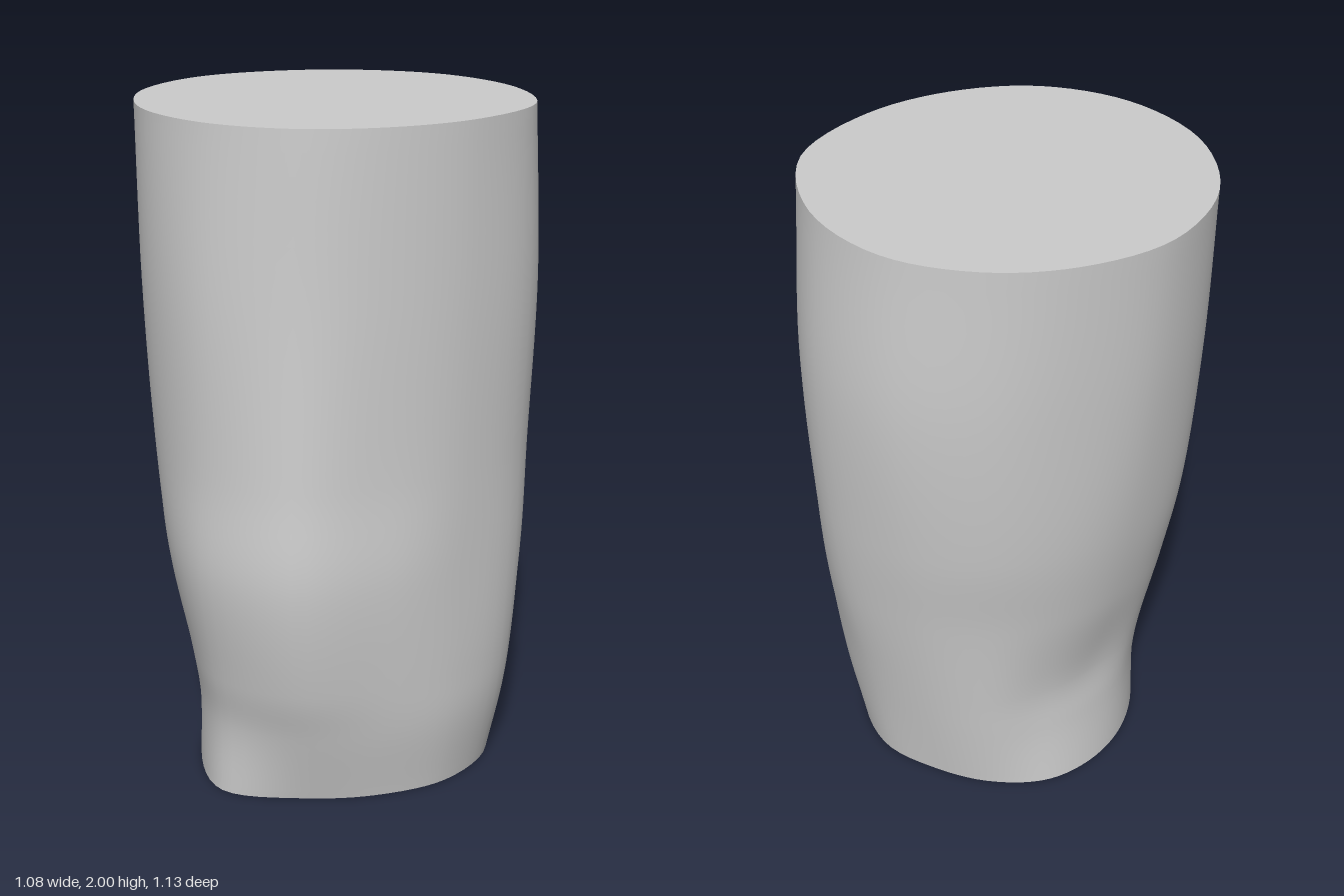
import * as THREE from 'three';

// Cross-sections from bottom to top: height, then radii every 30 degrees
// starting at the left (+x) and turning towards the front (+z).
const SECTIONS = [
  [0.0, [0.46, 0.42, 0.425, 0.488, 0.42, 0.37, 0.345, 0.34, 0.335, 0.36, 0.44, 0.49]],
  [0.22, [0.497, 0.468, 0.485, 0.485, 0.418, 0.363, 0.325, 0.325, 0.355, 0.395, 0.47, 0.535]],
  [0.38, [0.505, 0.49, 0.53, 0.512, 0.44, 0.378, 0.32, 0.325, 0.37, 0.42, 0.495, 0.555]],
  [0.7, [0.508, 0.51, 0.575, 0.562, 0.505, 0.445, 0.395, 0.385, 0.41, 0.47, 0.55, 0.575]],
  [1.0, [0.511, 0.495, 0.555, 0.553, 0.53, 0.5, 0.45, 0.435, 0.46, 0.515, 0.58, 0.58]],
  [1.5, [0.523, 0.495, 0.525, 0.553, 0.55, 0.54, 0.505, 0.475, 0.5, 0.555, 0.598, 0.595]],
  [2.0, [0.528, 0.5, 0.508, 0.528, 0.55, 0.555, 0.535, 0.5, 0.5, 0.532, 0.562, 0.58]],
];
const COLUMNS = 12, ROWS = 48, SIDES = 72;

// Smooth rings: splines run up the limb, then around it
function makeRings() {
  const columns = [];
  for (let c = 0; c < COLUMNS; c++) {
    const a = (c / COLUMNS) * Math.PI * 2;
    columns.push(new THREE.CatmullRomCurve3(SECTIONS.map(([y, radii]) =>
      new THREE.Vector3(radii[c] * Math.cos(a), y, radii[c] * Math.sin(a)))));
  }
  const rings = [];
  for (let r = 0; r <= ROWS; r++) {
    const loop = new THREE.CatmullRomCurve3(
      columns.map((curve) => curve.getPoint(r / ROWS)), true);
    rings.push(Array.from({ length: SIDES }, (_, i) => loop.getPoint(i / SIDES)));
  }
  return rings;
}

function makeGeometry(points, index) {
  const geometry = new THREE.BufferGeometry().setFromPoints(points);
  geometry.setIndex(index);
  geometry.computeVertexNormals();
  return geometry;
}

// Skin between the rings, closed around the seam
function skinGeometry(rings) {
  const index = [];
  for (let r = 0; r < ROWS; r++) {
    for (let i = 0; i < SIDES; i++) {
      const j = (i + 1) % SIDES;
      const a = r * SIDES + i, b = r * SIDES + j;
      index.push(a, a + SIDES, b, b, a + SIDES, b + SIDES);
    }
  }
  return makeGeometry(rings.flat(), index);
}

// Flat cut face as a fan around the middle
function cutGeometry(ring, facesUp) {
  const index = [];
  for (let i = 0; i < SIDES; i++) {
    const j = (i + 1) % SIDES;
    index.push(SIDES, facesUp ? j : i, facesUp ? i : j);
  }
  return makeGeometry([...ring, new THREE.Vector3(0, ring[0].y, 0)], index);
}

export function createModel() {
  const group = new THREE.Group();
  group.name = 'limbSegment';
  const material = new THREE.MeshStandardMaterial({ color: 0xcccccc });
  const rings = makeRings();
  const parts = {
    skin: skinGeometry(rings),
    upperCutFace: cutGeometry(rings[ROWS], true),
    lowerCutFace: cutGeometry(rings[0], false),
  };
  for (const [name, geometry] of Object.entries(parts)) {
    const mesh = new THREE.Mesh(geometry, material);
    mesh.name = name;
    group.add(mesh);
  }
  return group;
}
